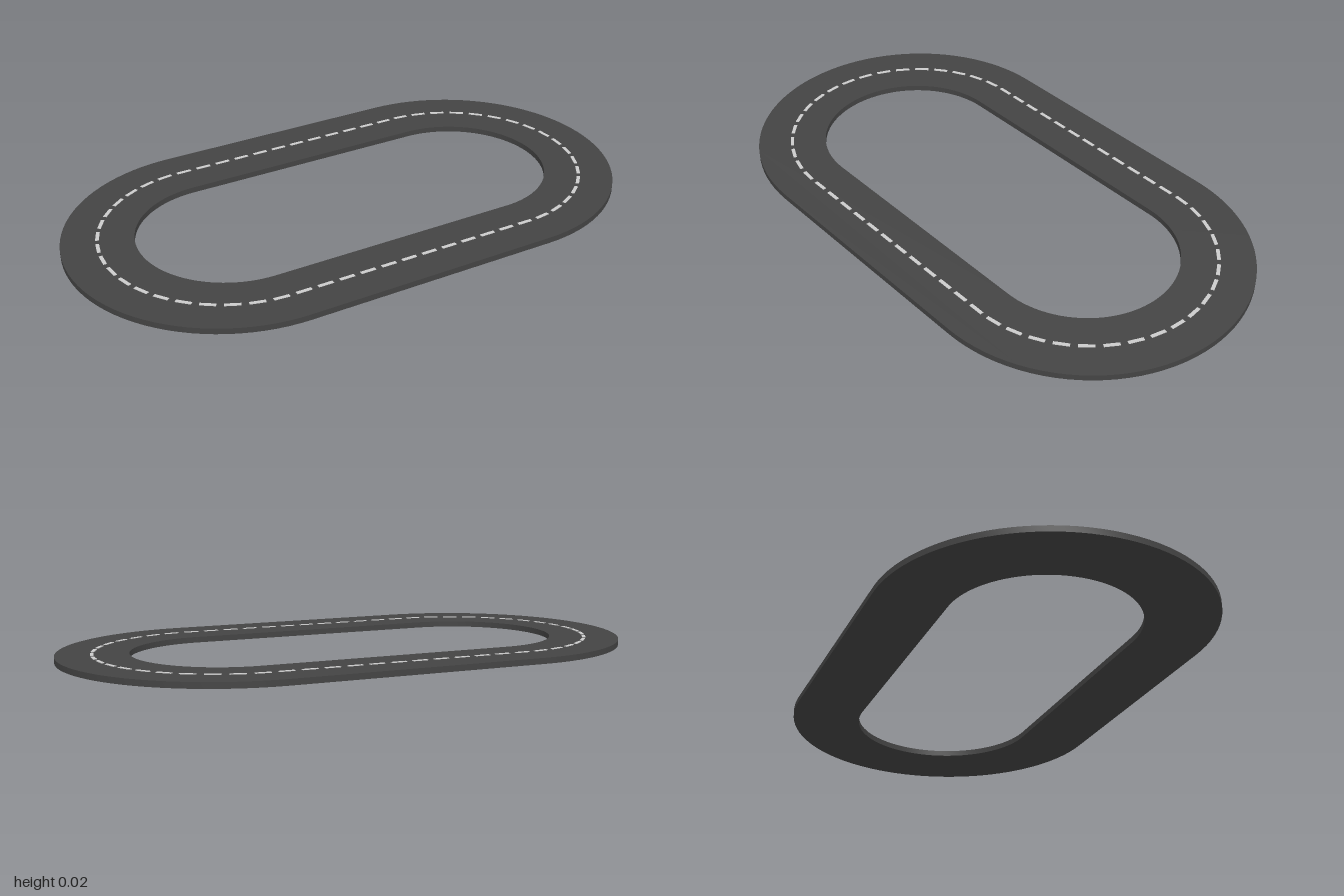
import * as THREE from 'three';
import { toCreasedNormals } from 'three/addons/utils/BufferGeometryUtils.js';

const HALF_STRAIGHT = 0.44, BEND = 0.44, HALF_WIDTH = 0.12, HEIGHT = 0.02;

// Oval made of two straights and two half-circle bends
function oval(path, r) {
  path.moveTo(-HALF_STRAIGHT, -r);
  path.lineTo(HALF_STRAIGHT, -r);
  path.absarc(HALF_STRAIGHT, 0, r, -Math.PI / 2, Math.PI / 2, false);
  path.lineTo(-HALF_STRAIGHT, r);
  path.absarc(-HALF_STRAIGHT, 0, r, Math.PI / 2, Math.PI * 1.5, false);
  return path;
}

export function createModel() {
  const group = new THREE.Group();
  group.name = 'ovalTrack';

  // Road slab with the infield cut out
  const shape = oval(new THREE.Shape(), BEND + HALF_WIDTH);
  shape.holes.push(oval(new THREE.Path(), BEND - HALF_WIDTH));
  const slab = new THREE.ExtrudeGeometry(shape, { depth: HEIGHT, bevelEnabled: false, curveSegments: 24 });
  slab.rotateX(-Math.PI / 2);
  const road = new THREE.Mesh(
    toCreasedNormals(slab, Math.PI / 6),
    new THREE.MeshStandardMaterial({ color: 0x444444 })
  );
  road.name = 'road';
  group.add(road);

  // Dashed centre line, evenly spaced along the middle of the road
  const line = new THREE.Group();
  line.name = 'centreLine';
  const centre = oval(new THREE.Path(), BEND);
  const paint = new THREE.MeshStandardMaterial({ color: 0xcccccc });
  const dashGeometry = new THREE.BoxGeometry(0.052, 0.002, 0.012);
  const count = 60;
  for (let i = 0; i < count; i++) {
    const u = (i + 0.5) / count;
    const p = centre.getPointAt(u), t = centre.getTangentAt(u);
    const dash = new THREE.Mesh(dashGeometry, paint);
    dash.name = 'dash';
    dash.position.set(p.x, HEIGHT + 0.001, -p.y);
    dash.rotation.y = Math.atan2(t.y, t.x);
    line.add(dash);
  }
  group.add(line);
  return group;
}
